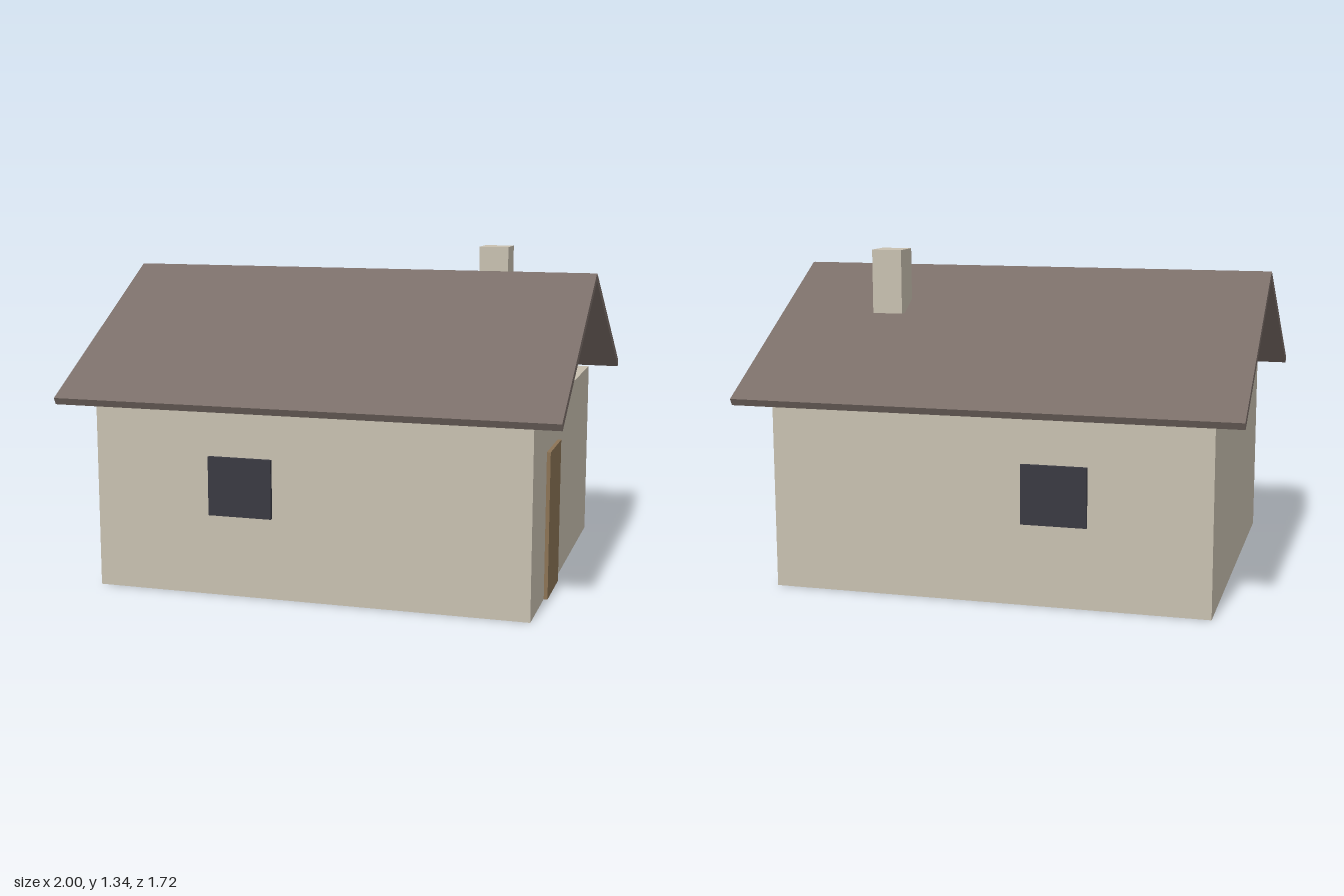
import * as THREE from 'three';

const paint = (color) => new THREE.MeshStandardMaterial({ color });

export function createModel() {
  const house = new THREE.Group();
  house.name = 'house';
  const wall = paint(0xc8c0b0);
  const roof = paint(0x7a6e68);
  const glass = paint(0x3a3a42);
  const wood = paint(0x8b7355);

  const addBox = (name, material, size, position) => {
    const mesh = new THREE.Mesh(new THREE.BoxGeometry(...size), material);
    mesh.name = name;
    mesh.position.set(...position);
    house.add(mesh);
    return mesh;
  };

  // Flat-topped body under an open gable
  addBox('walls', wall, [1.76, 0.765, 1.47], [0, 0.3825, 0]);

  // Two tilted roof slabs and a window on each long side
  for (const [label, side] of [['front', 1], ['back', -1]]) {
    const slab = addBox(label + 'Roof', roof, [2, 0.031, 0.973], [0, 1.002, side * 0.426]);
    slab.rotation.x = side * Math.atan2(0.468, 0.853);
    addBox(label + 'Window', glass, [0.26, 0.235, 0.03], [-0.27, 0.4425, side * 0.735]);
  }

  // Door on the left end wall
  addBox('door', wood, [0.03, 0.59, 0.265], [0.88, 0.295, 0.2975]);

  // Chimney through the back slope
  addBox('chimney', wall, [0.125, 0.26, 0.125], [0.5275, 1.205, -0.2975]);

  return house;
}
